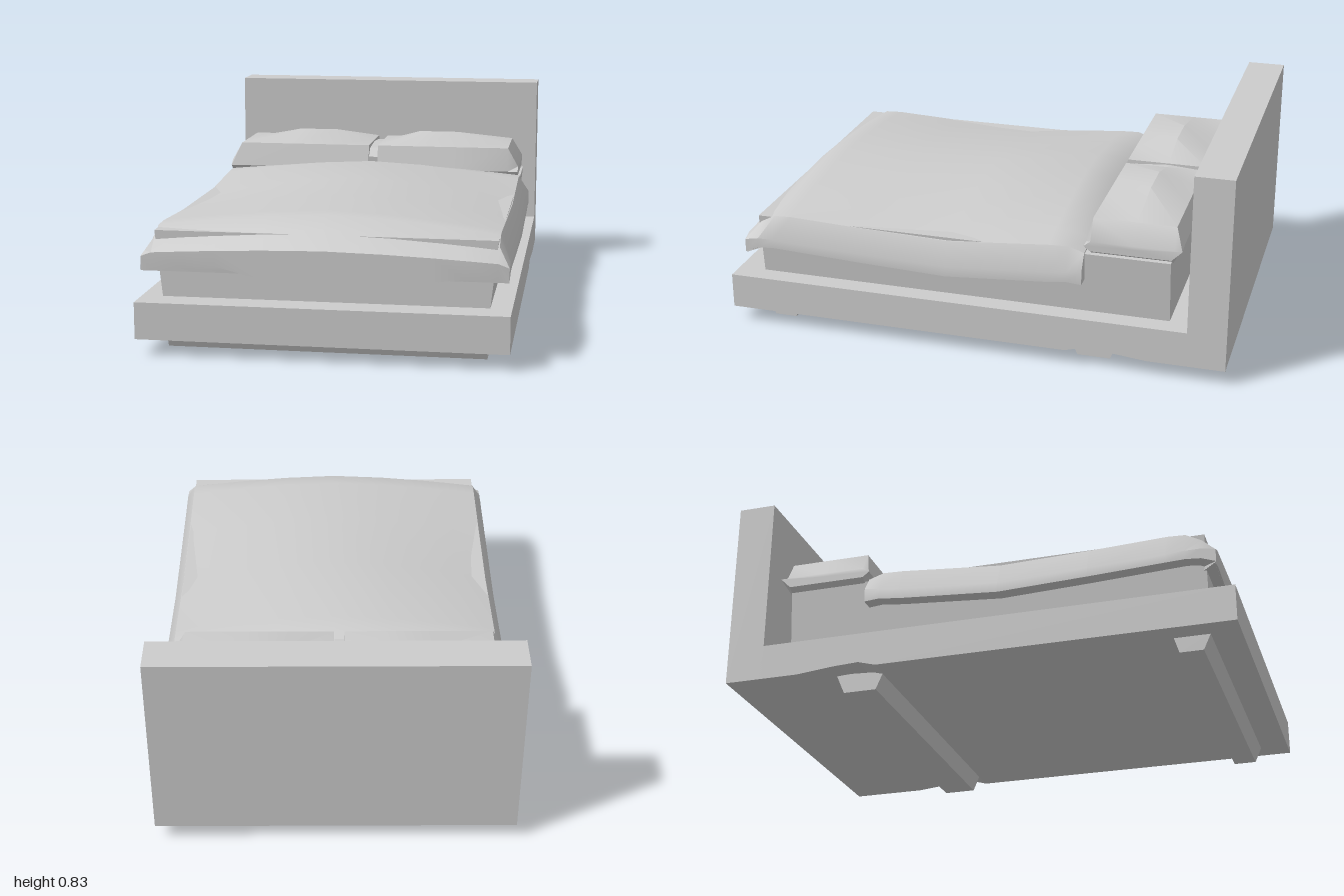
import * as THREE from 'three';
import { toCreasedNormals } from 'three/addons/utils/BufferGeometryUtils.js';

const material = new THREE.MeshStandardMaterial({ color: 0xcccccc });

function part(group, name, geometry) {
  const mesh = new THREE.Mesh(geometry, material);
  mesh.name = name;
  group.add(mesh);
  return mesh;
}

// Skin a list of closed rings and cap both ends.
function loft(rings, crease) {
  const n = rings[0].length, last = rings.length - 1;
  const pos = rings.flat(2), index = [];
  for (let i = 0; i < last; i++) {
    for (let j = 0; j < n; j++) {
      const k = (j + 1) % n;
      const a = i * n + j, b = i * n + k, c = (i + 1) * n + k, d = (i + 1) * n + j;
      index.push(a, d, c, a, c, b);
    }
  }
  for (const end of [0, last]) {
    const centre = pos.length / 3;
    for (let axis = 0; axis < 3; axis++) {
      pos.push(rings[end].reduce((sum, p) => sum + p[axis], 0) / n);
    }
    for (let j = 0; j < n; j++) {
      const a = end * n + j, b = end * n + (j + 1) % n;
      index.push(centre, ...(end ? [b, a] : [a, b]));
    }
  }
  const g = new THREE.BufferGeometry();
  g.setAttribute('position', new THREE.Float32BufferAttribute(pos, 3));
  g.setIndex(index);
  return toCreasedNormals(g, crease);
}

// Extrude a side outline, given as [z, y] points, across the width.
function across(outline, x0, x1) {
  const shape = new THREE.Shape(outline.map(([z, y]) => new THREE.Vector2(-z, y)));
  const g = new THREE.ExtrudeGeometry(shape, { depth: x1 - x0, bevelEnabled: false });
  g.rotateY(Math.PI / 2);
  return g.translate(x0, 0, 0);
}

// Linear interpolation through [x, y] points.
function lerpPath(points, x) {
  for (let i = 1; i < points.length; i++) {
    const [x0, y0] = points[i - 1], [x1, y1] = points[i];
    if (x <= x1) return y0 + (y1 - y0) * (x - x0) / (x1 - x0);
  }
  return points[points.length - 1][1];
}

function duvetGeometry() {
  // z, centre height, side ridge height, bevel bottom, hem
  const rows = [
    [-0.44, 0.47, 0.455, 0.395, 0.34],
    [-0.38, 0.515, 0.475, 0.385, 0.345],
    [-0.3, 0.535, 0.472, 0.375, 0.335],
    [0.1, 0.53, 0.437, 0.345, 0.305],
    [0.45, 0.52, 0.447, 0.355, 0.318],
    [0.75, 0.517, 0.46, 0.365, 0.332],
    [0.82, 0.512, 0.457, 0.37, 0.335],
    [0.88, 0.465, 0.425, 0.37, 0.33],
    [0.935, 0.4, 0.375, 0.36, 0.31],
  ];
  const xs = [-0.64, -0.52, -0.4, -0.22, 0, 0.22, 0.4, 0.52, 0.64];
  const rings = rows.map(([z, top, ridge, bevel, hem]) => [
    [-0.6, hem, Math.min(z, 0.86)], [-0.68, hem, z], [-0.68, bevel, z],
    ...xs.map(x => [x, top - (top - ridge) * (Math.abs(x) / 0.64) ** 1.6, z]),
    [0.68, bevel, z], [0.68, hem, z], [0.6, hem, Math.min(z, 0.86)],
  ]);
  // Wavy hem across the foot of the bed
  const wave = [[-0.64, 0.307], [-0.4, 0.33], [-0.22, 0.285], [0, 0.28], [0.3, 0.28], [0.5, 0.315], [0.64, 0.307]];
  rings.push([
    [-0.6, 0.31, 0.86], [-0.68, 0.305, 0.93], [-0.68, 0.306, 0.93],
    ...xs.map(x => [x, lerpPath(wave, x), 0.935]),
    [0.68, 0.306, 0.93], [0.68, 0.305, 0.93], [0.6, 0.31, 0.86],
  ]);
  return loft(rings, 0.6);
}

function pillowGeometry(side) {
  // Side outline from front, over the top, to the back; crest gets its height per station
  const ring = (x, crest, cap = 1) => [
    [-0.46, 0.43], [-0.435, 0.48], [-0.46, 0.58], [-0.63, crest],
    [-0.78, 0.58], [-0.81, 0.51], [-0.77, 0.43],
  ].map(([z, y]) => [side * x - 0.015, Math.max(Math.min(y, cap), cap < 1 ? 0.46 : 0), z]);
  const rings = [
    ring(0.02, 0.58), ring(0.19, 0.625), ring(0.36, 0.625), ring(0.6, 0.58), ring(0.645, 0.5, 0.5),
  ];
  if (side < 0) rings.reverse();
  return loft(rings, 0.55);
}

export function createModel() {
  const bed = new THREE.Group();
  bed.name = 'bed';

  // Platform with a slight rise above the rear foot rail
  part(bed, 'platform', across([
    [1, 0.06], [1, 0.2], [-0.86, 0.2], [-0.86, 0.06], [-0.7, 0.06], [-0.55, 0.075], [-0.45, 0.08], [-0.38, 0.06],
  ], -0.69, 0.69));

  part(bed, 'headboard', new THREE.BoxGeometry(1.38, 0.77, 0.15).translate(0, 0.445, -0.925));

  // Tapered foot rails
  part(bed, 'frontFootRail', across([[0.89, 0.065], [0.86, 0], [0.77, 0], [0.75, 0.065]], -0.6, 0.6));
  part(bed, 'rearFootRail', across([[-0.38, 0.07], [-0.41, 0], [-0.54, 0], [-0.575, 0.08]], -0.6, 0.6));

  // Mattress, flaring slightly toward the top
  const mattress = new THREE.BoxGeometry(1.22, 0.25, 1.66).translate(0, 0.325, 0.06);
  const p = mattress.attributes.position;
  for (let i = 0; i < p.count; i++) {
    if (p.getY(i) > 0.3) p.setX(i, p.getX(i) * 1.045);
  }
  mattress.computeVertexNormals();
  part(bed, 'mattress', mattress);

  part(bed, 'duvet', duvetGeometry());

  part(bed, 'leftPillow', pillowGeometry(1));
  part(bed, 'rightPillow', pillowGeometry(-1));

  // Rounded fold filling the gap between the pillows
  part(bed, 'pillowFold', across([
    [-0.46, 0.43], [-0.45, 0.53], [-0.49, 0.565], [-0.63, 0.575], [-0.76, 0.565], [-0.79, 0.53], [-0.77, 0.43],
  ], -0.034, 0.004));

  return bed;
}
